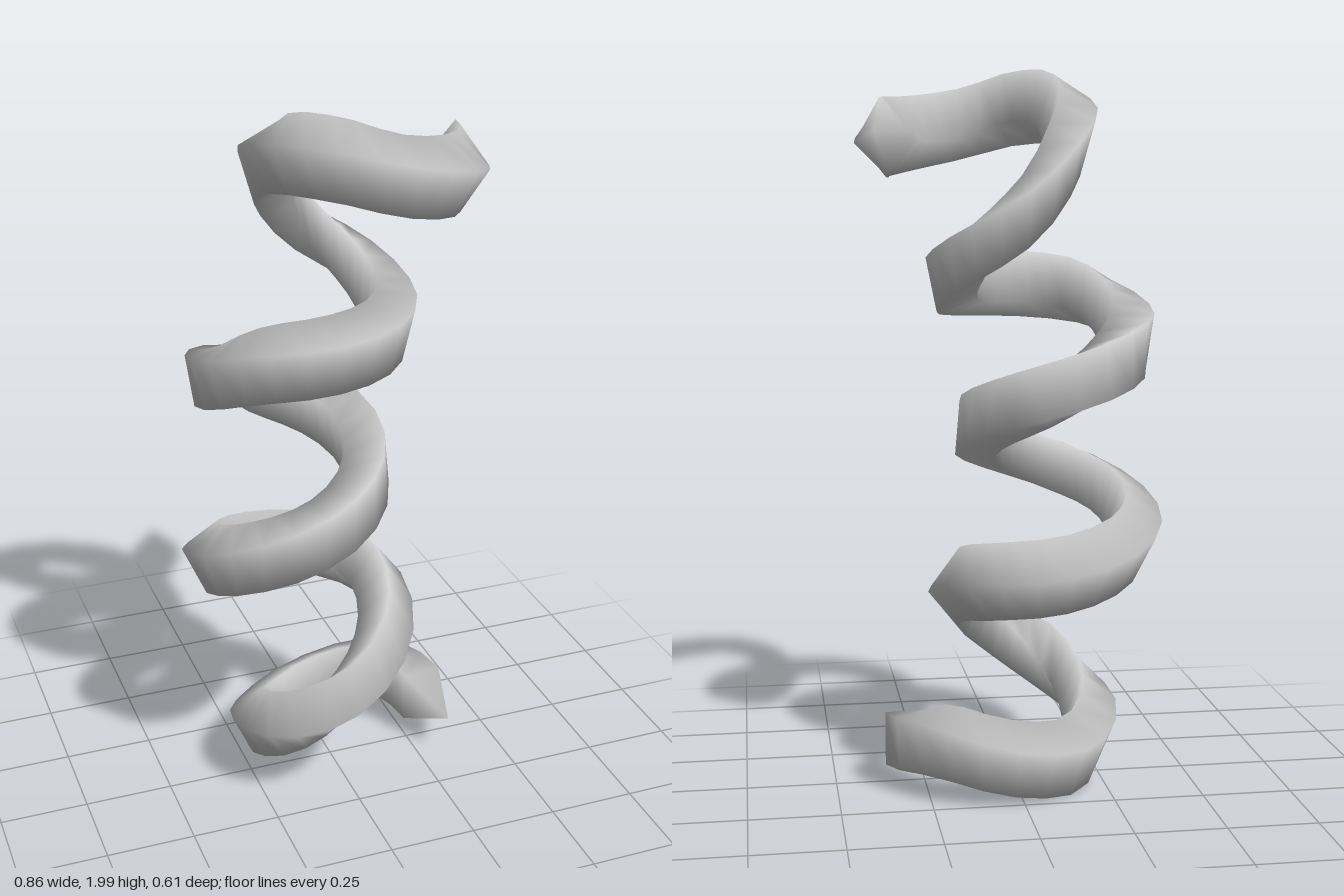
import * as THREE from 'three';

const QUARTERS = 16;   // quarter turns, starting at the top on the left (+x) side
const STEPS = 5;       // rings per quarter turn
const SIDES = 4;
const COIL_RADIUS = 0.225;
const HALF_WIDTH = 0.082, HALF_HEIGHT = 0.108;

// Per quarter turn: sideways drift of the coil axis, twist of the section in degrees
const driftX = [0.125, 0.11, 0.078, 0.015, -0.055, -0.085, -0.1, -0.12, -0.13, -0.13, -0.125, -0.1, -0.075, -0.045, -0.005, 0.045, 0.08];
const twists = [-8, 22, 20, 30, 30, 27, 30, 57, 53, 42, 18, 3, 0, -15, 14, 22, 45];
// Per eighth turn: height of the centre line
const heights = [1.805, 1.815, 1.845, 1.893, 1.877, 1.775, 1.61, 1.505, 1.43, 1.405, 1.395, 1.37, 1.295, 1.225, 1.15, 1.085,
  1.02, 0.95, 0.88, 0.815, 0.745, 0.68, 0.635, 0.61, 0.57, 0.475, 0.36, 0.26, 0.18, 0.107, 0.127, 0.168, 0.135];

// Smooth function through evenly spaced values, for u from 0 to 1
function smooth(values) {
  const curve = new THREE.CatmullRomCurve3(values.map(v => new THREE.Vector3(v, 0, 0)), false, 'catmullrom', 0.5);
  return u => curve.getPoint(u).x;
}

function buildCoil() {
  const driftAt = smooth(driftX), heightAt = smooth(heights), twistAt = smooth(twists);
  const positions = [], index = [];
  const rings = QUARTERS * STEPS + 1;

  // Four-sided sections swept down the wandering helix
  for (let i = 0; i < rings; i++) {
    const u = i / (rings - 1);
    const angle = u * QUARTERS * Math.PI / 2 - 0.08;
    for (let k = 0; k < SIDES; k++) {
      const a = THREE.MathUtils.degToRad(twistAt(u)) + k * 2 * Math.PI / SIDES;
      const r = COIL_RADIUS + HALF_WIDTH * Math.cos(a);
      positions.push(driftAt(u) + r * Math.cos(angle), heightAt(u) + HALF_HEIGHT * Math.sin(a), r * Math.sin(angle));
    }
  }
  for (let i = 0; i < rings - 1; i++) {
    for (let k = 0; k < SIDES; k++) {
      const n = (k + 1) % SIDES;
      const a = i * SIDES + k, b = i * SIDES + n;
      index.push(a, b, b + SIDES, a, b + SIDES, a + SIDES);
    }
  }

  // Pointed ends
  const topTip = positions.length / 3, bottomTip = topTip + 1;
  positions.push(0.385, 1.82, -0.145, 0.33, 0.128, 0.13);
  const last = (rings - 1) * SIDES;
  for (let k = 0; k < SIDES; k++) {
    const n = (k + 1) % SIDES;
    index.push(topTip, n, k, bottomTip, last + k, last + n);
  }

  const geometry = new THREE.BufferGeometry();
  geometry.setAttribute('position', new THREE.Float32BufferAttribute(positions, 3));
  geometry.setIndex(index);
  geometry.computeVertexNormals();
  return geometry;
}

export function createModel() {
  const group = new THREE.Group();
  group.name = 'spiralCoil';
  const coil = new THREE.Mesh(buildCoil(), new THREE.MeshStandardMaterial({ color: 0xcccccc }));
  coil.name = 'coil';
  group.add(coil);
  return group;
}
